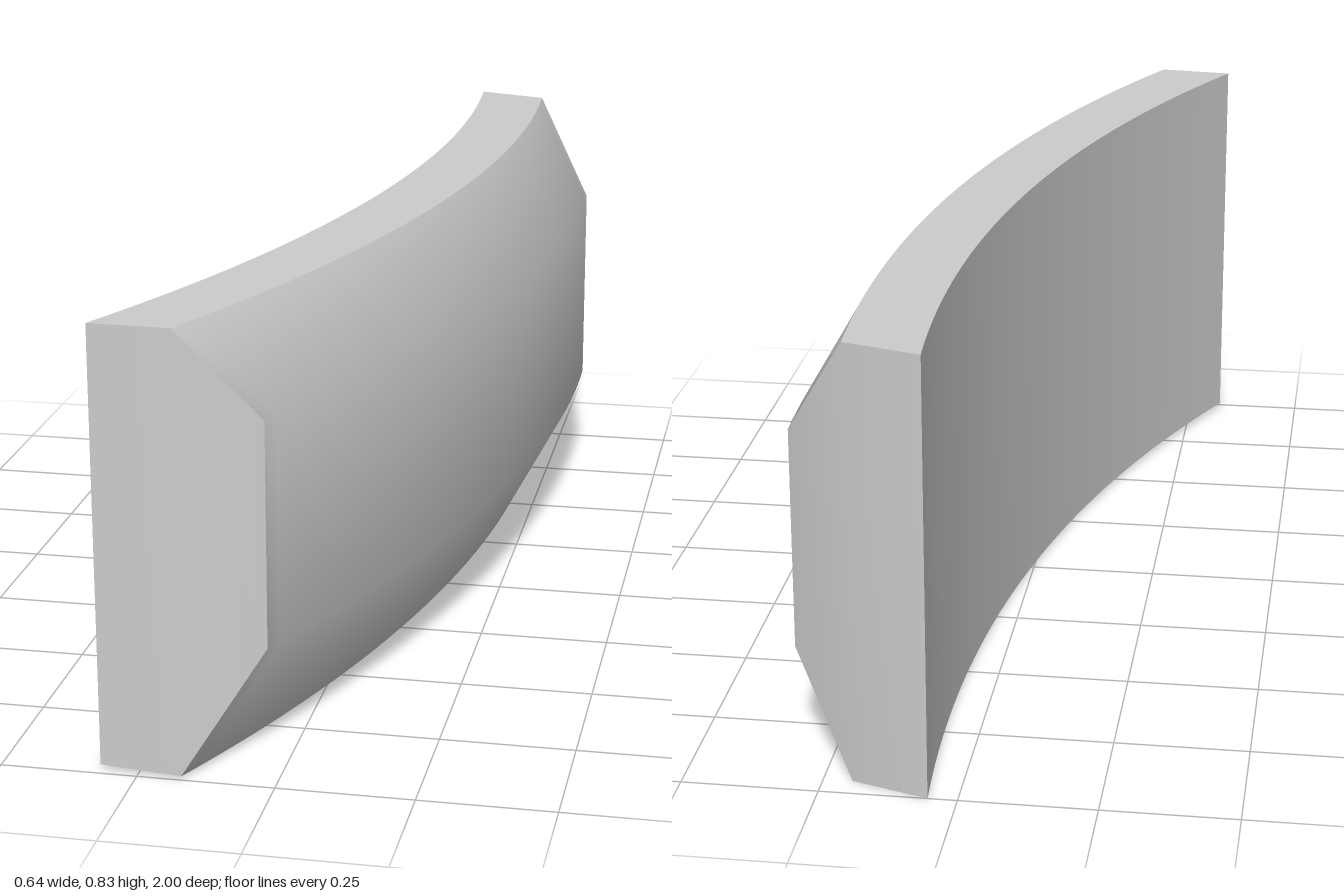
import * as THREE from 'three';

const SEGMENTS = 48;
const CENTRE = { x: -3.815, z: -0.7 };

// Each rail is an arc about a shared centre: radius, start/end angle, start/end height.
const rails = [
  { r: 3.88, a: [-0.0774, 0.4493], y: [0.833, 0.827] },  // inner top
  { r: 4.02, a: [-0.0635, 0.4354], y: [0.833, 0.829] },  // shoulder top
  { r: 4.135, a: [-0.0375, 0.4096], y: [0.63, 0.66] },   // outer top
  { r: 4.135, a: [-0.0375, 0.4096], y: [0.21, 0.24] },   // outer bottom
  { r: 4.02, a: [-0.0635, 0.4354], y: [0, 0.005] },      // shoulder bottom
  { r: 3.88, a: [-0.0774, 0.4493], y: [0, 0.01] },       // inner bottom
];

function railPoint(index, t) {
  const { r, a, y } = rails[index];
  const angle = THREE.MathUtils.lerp(a[0], a[1], t);
  return [
    CENTRE.x + r * Math.cos(angle),
    THREE.MathUtils.lerp(y[0], y[1], t),
    CENTRE.z + r * Math.sin(angle),
  ];
}

// Smooth surface through equal-length rows of points.
function surface(rows) {
  const n = rows[0].length;
  const index = [];
  for (let i = 0; i < rows.length - 1; i++) {
    for (let j = 0; j < n - 1; j++) {
      const a = i * n + j, b = a + n;
      index.push(a, b, a + 1, b, b + 1, a + 1);
    }
  }
  const geometry = new THREE.BufferGeometry();
  geometry.setAttribute('position', new THREE.Float32BufferAttribute(rows.flat(2), 3));
  geometry.setIndex(index);
  geometry.computeVertexNormals();
  return geometry;
}

// Surface swept along the arc between consecutive rails.
function sweep(indices) {
  const rows = [];
  for (let i = 0; i <= SEGMENTS; i++) {
    rows.push(indices.map((k) => railPoint(k, i / SEGMENTS)));
  }
  return surface(rows);
}

// End face spanning the six rail ends.
function cap(t, pairs) {
  return surface(pairs.map((pair) => pair.map((k) => railPoint(k, t))));
}

export function createModel() {
  const group = new THREE.Group();
  group.name = 'curvedBar';
  const grey = new THREE.MeshStandardMaterial({ color: 0xcccccc });
  grey.name = 'light grey';

  const add = (name, geometry) => {
    const mesh = new THREE.Mesh(geometry, grey);
    mesh.name = name;
    group.add(mesh);
  };

  // Long faces, with a soft bevelled outer side
  add('outerFace', sweep([1, 2, 3, 4]));
  add('topFace', sweep([0, 1]));
  add('bottomFace', sweep([4, 5]));
  add('innerFace', sweep([5, 0]));

  // Ends
  add('backEnd', cap(0, [[0, 5], [1, 4], [2, 3]]));
  add('frontEnd', cap(1, [[5, 0], [4, 1], [3, 2]]));
  return group;
}
